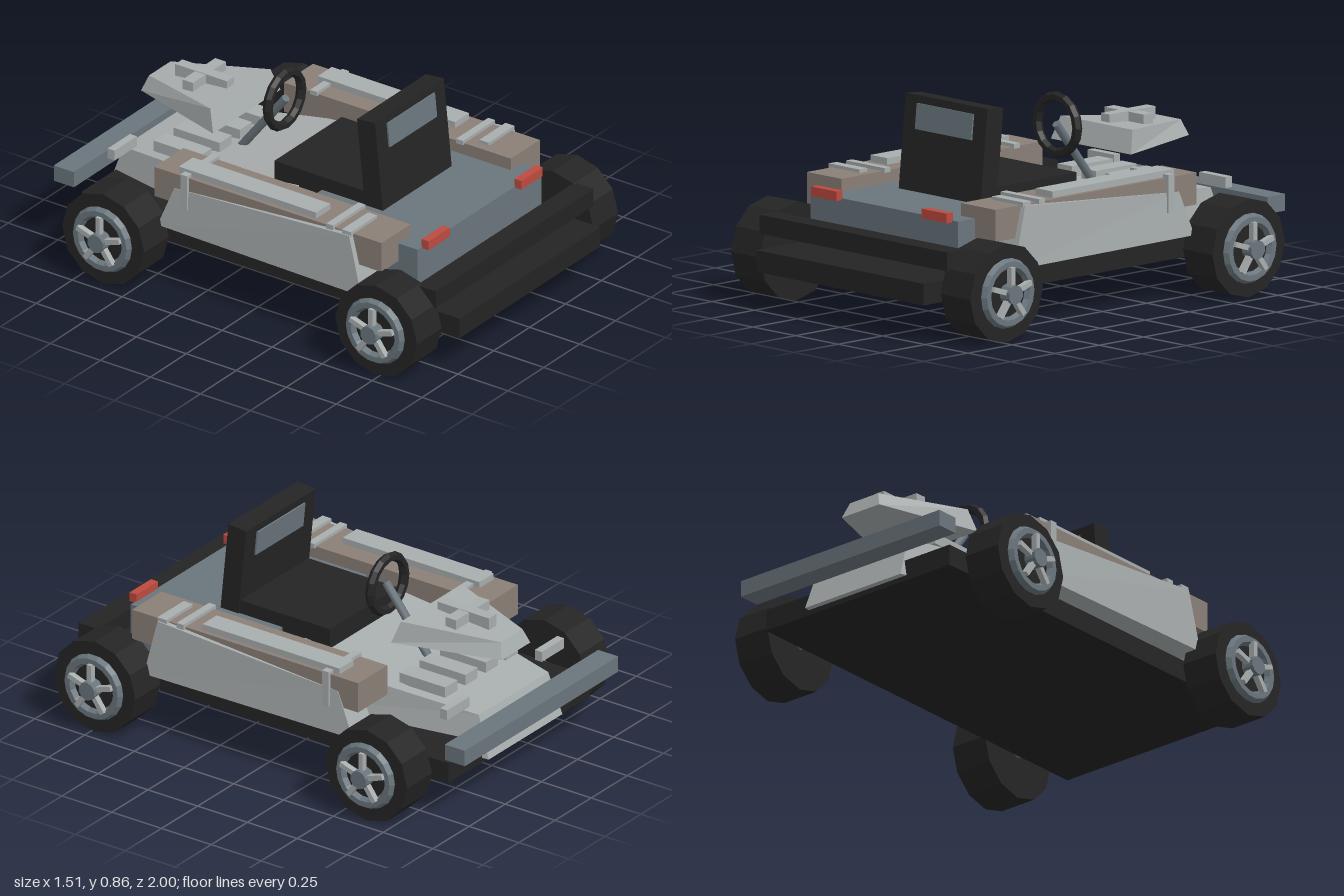
import * as THREE from 'three';

const mat = (name, color, extra = {}) => {
  const m = new THREE.MeshStandardMaterial({ color, ...extra });
  m.name = name;
  return m;
};

export function createModel() {
  const root = new THREE.Group();
  root.name = 'kart';
  const black = mat('black', 0x242424);
  const steel = mat('steelBlue', 0x69757c);
  const light = mat('lightGrey', 0xa8adad);
  const brown = mat('taupe', 0x8a7f77);
  const red = mat('red', 0xbd4a40);

  const add = (name, geo, m, parent = root) => {
    const mesh = new THREE.Mesh(geo, m);
    mesh.name = name;
    parent.add(mesh);
    return mesh;
  };
  // Box given by its limits on each axis
  const box = (name, m, x0, x1, y0, y1, z0, z1, parent = root) => {
    const mesh = add(name, new THREE.BoxGeometry(Math.abs(x1 - x0), y1 - y0, z1 - z0), m, parent);
    mesh.position.set((x0 + x1) / 2, (y0 + y1) / 2, (z0 + z1) / 2);
    return mesh;
  };
  // Box whose corners are placed by rule(sx, sy, sz), each sign being -1 or 1
  const wedge = (name, m, rule) => {
    const geo = new THREE.BoxGeometry(2, 2, 2).toNonIndexed();
    const p = geo.attributes.position;
    for (let i = 0; i < p.count; i++) p.setXYZ(i, ...rule(p.getX(i), p.getY(i), p.getZ(i)));
    geo.computeVertexNormals();
    return add(name, geo, m);
  };
  const flat = (geo) => {
    const g = geo.toNonIndexed();
    g.computeVertexNormals();
    return g;
  };

  // Chassis, rear deck and bumpers
  box('floor', black, -0.49, 0.49, 0.16, 0.25, -0.89, 1);
  box('rearDeck', steel, -0.432, 0.432, 0.28, 0.465, 0.13, 0.75);
  box('rearBumper', black, -0.55, 0.55, 0.3, 0.378, 0.83, 0.925);
  box('frontBumper', steel, -0.53, 0.53, 0.285, 0.355, -1, -0.9);

  // Sloping hood, narrower at the nose
  wedge('hood', light, (sx, sy, sz) => sz > 0
    ? [sx * (sy > 0 ? 0.4 : 0.42), sy > 0 ? 0.45 : 0.255, sy > 0 ? 0.015 : 0.05]
    : [sx * (sy > 0 ? 0.24 : 0.255), sy > 0 ? 0.36 : 0.18, sy > 0 ? -0.86 : -0.92]);
  for (let i = 0; i < 4; i++) {
    const x = -0.21 + i * 0.14;
    box('hoodSlat', light, x - 0.042, x + 0.042, 0.395, 0.442, -0.7, -0.47);
  }

  // Raised nose cover with a crossed plate
  wedge('noseCover', light, (sx, sy, sz) => sz > 0
    ? [sx * (sy > 0 ? 0.21 : 0.235), sy > 0 ? 0.65 : 0.555, sy > 0 ? -0.447 : -0.415]
    : [sx * (sy > 0 ? 0.075 : 0.1), sy > 0 ? 0.62 : 0.555, sy > 0 ? -0.85 : -0.872]);
  box('noseRibLong', light, -0.025, 0.025, 0.625, 0.68, -0.755, -0.497);
  box('noseRibCross', light, -0.115, 0.115, 0.625, 0.678, -0.655, -0.602);

  // Parts repeated on both sides
  for (const s of [1, -1]) {
    box('sidePod', brown, s * 0.35, s * 0.552, 0.385, 0.518, -0.48, 0.655);
    wedge('sidePanel', light, (sx, sy, sz) => {
      const outer = sx * s > 0, top = sy > 0;
      const x = outer ? (sz > 0 ? 0.582 : 0.56) - (top ? 0.006 : 0) : 0.42;
      return [s * x, top ? (sz > 0 ? 0.517 : 0.452) : 0.262,
        sz > 0 ? (top ? 0.51 : 0.575) : (top ? -0.38 : -0.46)];
    });
    box('podTopStrip', light, s * 0.435, s * 0.533, 0.515, 0.545, -0.372, 0.315);
    box('podRearPlate', light, s * 0.388, s * 0.57, 0.512, 0.532, 0.47, 0.515);
    for (const z of [-0.325, 0.405]) {
      box('podStrap', light, s * 0.34, s * 0.565, 0.512, 0.532, z - 0.017, z + 0.017);
      box('podStrapSide', light, s * 0.55, s * 0.565, 0.375, 0.532, z - 0.017, z + 0.017);
    }
    box('frontMarker', light, s * 0.25, s * 0.405, 0.39, 0.435, -0.82, -0.785);
    box('tailLight', red, s * 0.25, s * 0.397, 0.457, 0.497, 0.745, 0.78);
  }

  // Seat
  box('seatCushion', black, -0.235, 0.235, 0.42, 0.525, -0.108, 0.4);
  const back = new THREE.Group();
  back.name = 'seatBack';
  back.position.set(0, 0.46, 0.393);
  back.rotation.x = -0.1;
  root.add(back);
  box('backrest', black, -0.24, 0.24, 0, 0.394, -0.045, 0.045, back);
  box('backrestPanel', steel, -0.165, 0.165, 0.255, 0.362, -0.052, 0.052, back);

  // Steering wheel and column
  const ring = add('steeringWheel', flat(new THREE.TorusGeometry(0.117, 0.021, 6, 16)), black);
  ring.position.set(0, 0.672, -0.226);
  const column = add('steeringColumn', new THREE.CylinderGeometry(0.018, 0.018, 0.36, 8), steel);
  column.position.set(0, 0.535, -0.33);
  column.rotation.x = 0.66;

  // Axles and wheels
  for (const z of [0.735, -0.63]) {
    const axle = add('axle', new THREE.CylinderGeometry(0.027, 0.027, 1.2, 8), steel);
    axle.rotation.z = Math.PI / 2;
    axle.position.set(0, 0.205, z);
    for (const s of [1, -1]) {
      // Built facing +z, then turned outwards
      const wheel = new THREE.Group();
      wheel.name = 'wheel';
      wheel.position.set(s * 0.615, 0.205, z);
      wheel.rotation.y = s * Math.PI / 2;
      root.add(wheel);
      const disc = (name, r, z0, z1, n, m) => {
        const d = add(name, flat(new THREE.CylinderGeometry(r, r, z1 - z0, n)), m, wheel);
        d.rotation.x = Math.PI / 2;
        d.position.z = (z0 + z1) / 2;
      };
      disc('tyre', 0.205, -0.086, 0.086, 12, black);
      const rim = add('rim', flat(new THREE.TorusGeometry(0.122, 0.024, 6, 18)), steel, wheel);
      rim.position.z = 0.09;
      disc('hub', 0.04, 0.08, 0.142, 10, steel);
      for (let i = 0; i < 5; i++) {
        const spoke = new THREE.Group();
        spoke.name = 'spoke';
        spoke.rotation.z = i * Math.PI * 2 / 5;
        wheel.add(spoke);
        box('spokeBar', light, -0.011, 0.011, 0.03, 0.112, 0.1, 0.126, spoke);
      }
    }
  }
  return root;
}
